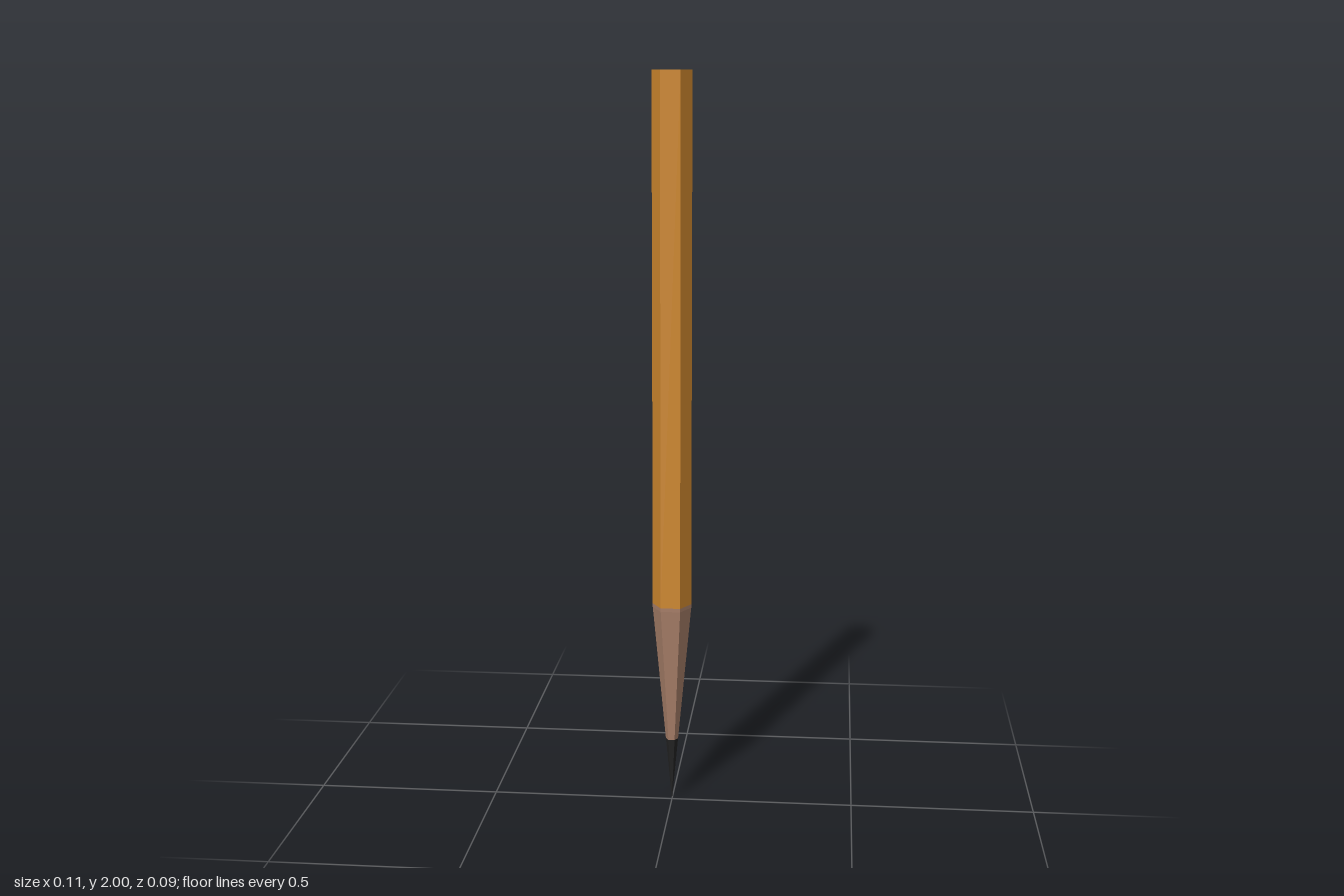
import * as THREE from 'three';

const SIDES = 6;
const R = 0.053;        // corner radius of the hexagonal shaft
const CORE = 0.026;     // corner radius of the graphite at the blunt end
const CONE_TOP = 0.56;  // where sharpening starts
const PAINT_EDGE = 0.57;
const LEAD_TOP = 0.18;

export function createModel() {
  const group = new THREE.Group();
  group.name = 'pencil';
  const material = (name, color) => {
    const m = new THREE.MeshStandardMaterial({ color, flatShading: true });
    m.name = name;
    return m;
  };
  const paint = material('orange paint', 0xcf882e);
  const wood = material('bare wood', 0xa87f69);
  const graphite = material('graphite', 0x232323);

  const add = (name, geometry, mat) => {
    const mesh = new THREE.Mesh(geometry, mat);
    mesh.name = name;
    group.add(mesh);
  };
  // Open hexagonal band with flats facing +z and -z
  const band = (name, y0, r0, y1, r1, mat) => {
    const g = new THREE.CylinderGeometry(r1, r0, y1 - y0, SIDES, 1, true, Math.PI / 6);
    add(name, g.translate(0, (y0 + y1) / 2, 0), mat);
  };

  // Painted shaft and the narrow bare edge below it
  band('shaft', PAINT_EDGE, R, 2, R, paint);
  band('woodCollar', CONE_TOP, R, PAINT_EDGE, R, wood);

  // Sharpened end, one continuous taper down to the point
  const leadR = R * LEAD_TOP / CONE_TOP;
  band('sharpenedWood', LEAD_TOP, leadR, CONE_TOP, R, wood);
  band('leadPoint', 0, 0, LEAD_TOP, leadR, graphite);

  // Blunt end: wood ring around the graphite core
  const flat = (g) => g.rotateX(-Math.PI / 2).translate(0, 2, 0);
  add('endWood', flat(new THREE.RingGeometry(CORE, R, SIDES)), wood);
  add('endCore', flat(new THREE.CircleGeometry(CORE, SIDES)), graphite);

  return group;
}
